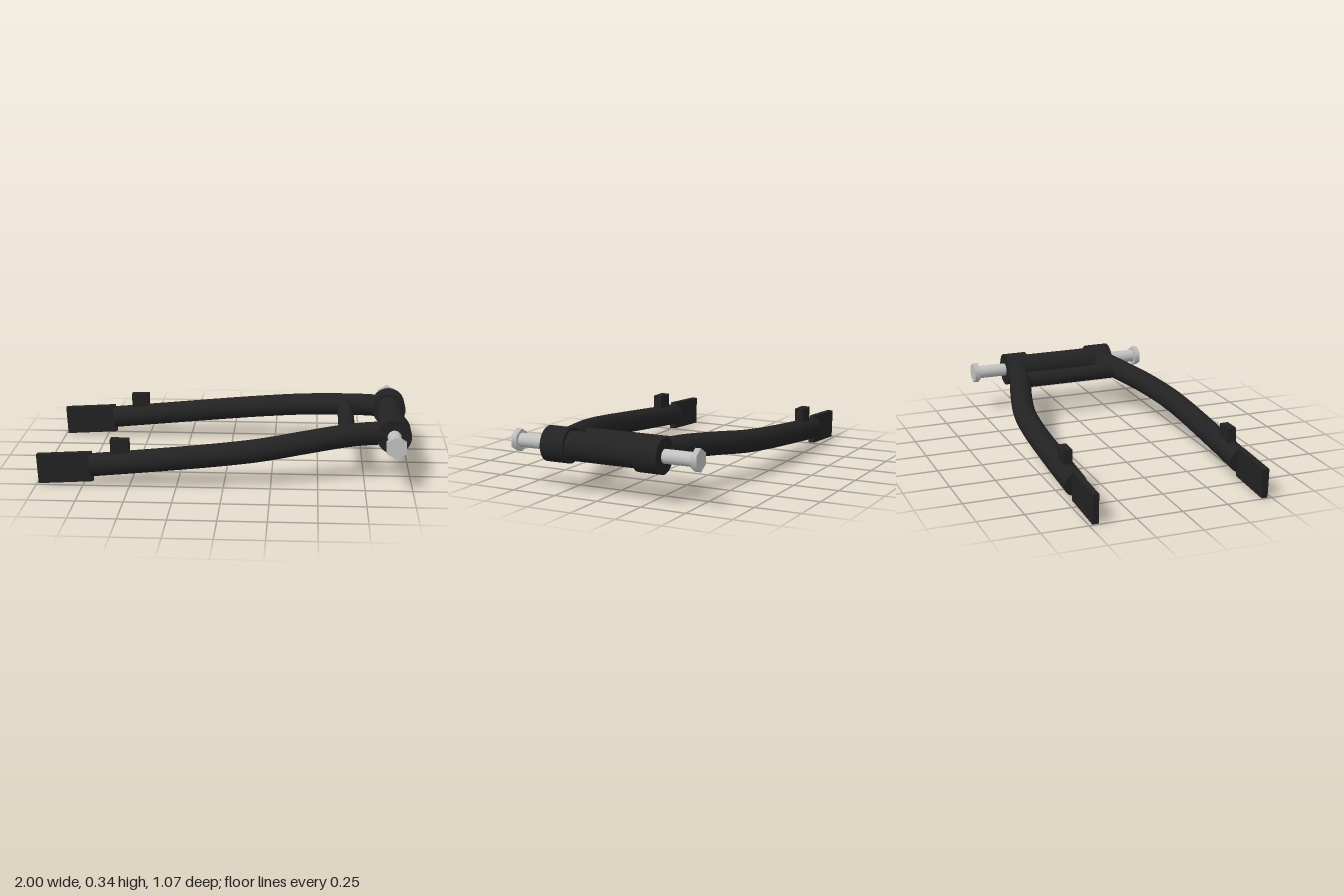
import * as THREE from 'three';

const black = new THREE.MeshStandardMaterial({ color: 0x222222 });
black.name = 'black paint';
const silver = new THREE.MeshStandardMaterial({ color: 0xc0c0c0 });
silver.name = 'silver steel';

const PIVOT_X = 0.905, PIVOT_Y = 0.252;

function add(parent, name, geometry, material, x = 0, y = 0, z = 0) {
  const mesh = new THREE.Mesh(geometry, material);
  mesh.name = name;
  mesh.position.set(x, y, z);
  parent.add(mesh);
  return mesh;
}

// Cylinder lying along z
function rod(radius, length, sides = 40) {
  return new THREE.CylinderGeometry(radius, radius, length, sides).rotateX(Math.PI / 2);
}

function createSide(side) {
  const group = new THREE.Group();
  group.name = side > 0 ? 'frontSide' : 'backSide';

  // Bent arm, with a cap closing its free end
  const path = new THREE.CatmullRomCurve3([
    [-0.71, 0.109, 0.464], [-0.35, 0.143, 0.463], [0, 0.178, 0.455],
    [0.2, 0.2, 0.436], [0.42, 0.228, 0.385], [0.64, 0.25, 0.32],
    [0.78, 0.257, 0.287], [0.9, 0.255, 0.268],
  ].map(([x, y, z]) => new THREE.Vector3(x, y, z * side)));
  add(group, 'arm', new THREE.TubeGeometry(path, 64, 0.062, 28), black);
  const start = path.getPoint(0);
  const cap = add(group, 'armCap', new THREE.CircleGeometry(0.062, 28), black, start.x, start.y, start.z);
  cap.lookAt(start.clone().sub(path.getTangent(0)));

  // Flat dropout plate and small mounting block
  const plate = add(group, 'dropoutPlate', new THREE.BoxGeometry(0.295, 0.16, 0.034), black, -0.848, 0.094, 0.464 * side);
  plate.rotation.z = 0.058;
  add(group, 'mountBlock', new THREE.BoxGeometry(0.1, 0.11, 0.048), black, -0.551, 0.203, 0.464 * side);

  // Pivot collar and hex bolt
  add(group, 'collar', rod(0.093, 0.135), black, PIVOT_X, PIVOT_Y, 0.267 * side);
  add(group, 'boltShank', rod(0.037, 0.22), silver, PIVOT_X, PIVOT_Y, 0.4 * side);
  add(group, 'boltHead', rod(0.06, 0.031, 6), silver, PIVOT_X, PIVOT_Y, 0.519 * side);
  return group;
}

export function createModel() {
  const model = new THREE.Group();
  model.name = 'swingarm';
  for (const side of [1, -1]) model.add(createSide(side));

  // Tubes joining the two sides
  add(model, 'pivotTube', rod(0.077, 0.42), black, PIVOT_X, PIVOT_Y, 0);
  add(model, 'crossTube', rod(0.045, 0.6), black, 0.655, 0.25, 0);
  return model;
}
